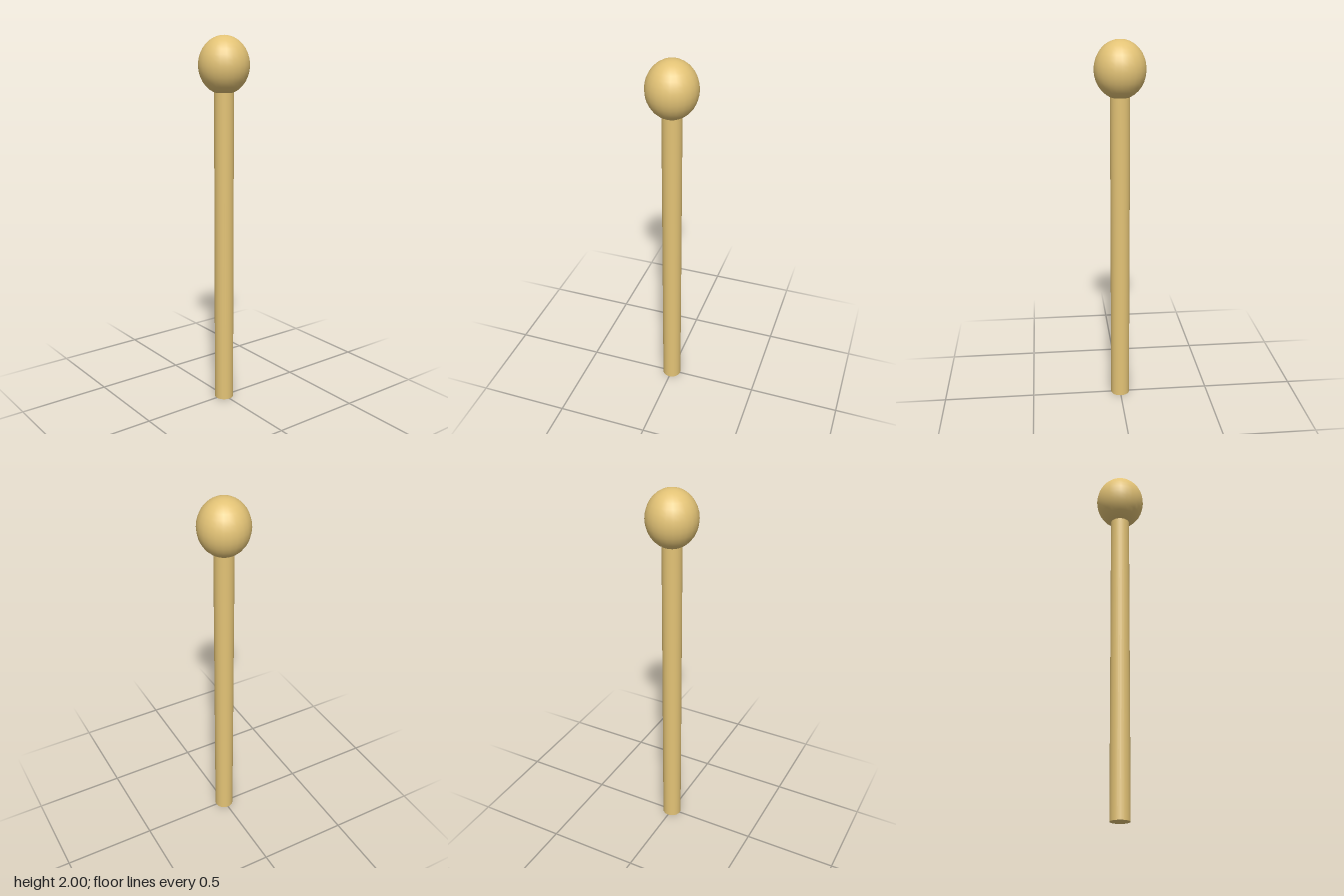
import * as THREE from 'three';

export function createModel() {
  const group = new THREE.Group();
  group.name = 'mallet';
  const wood = new THREE.MeshStandardMaterial({ color: 0xe3c376 });

  // Straight round shaft, its top end sunk into the head
  const shaftHeight = 1.8;
  const shaft = new THREE.Mesh(new THREE.CylinderGeometry(0.052, 0.052, shaftHeight, 24), wood);
  shaft.name = 'shaft';
  shaft.position.y = shaftHeight / 2;
  group.add(shaft);

  // Slightly tall egg-like head
  const headGeometry = new THREE.SphereGeometry(1, 24, 16);
  headGeometry.scale(0.134, 0.15, 0.134);
  const head = new THREE.Mesh(headGeometry, wood);
  head.name = 'head';
  head.position.y = 1.85;
  group.add(head);

  return group;
}
